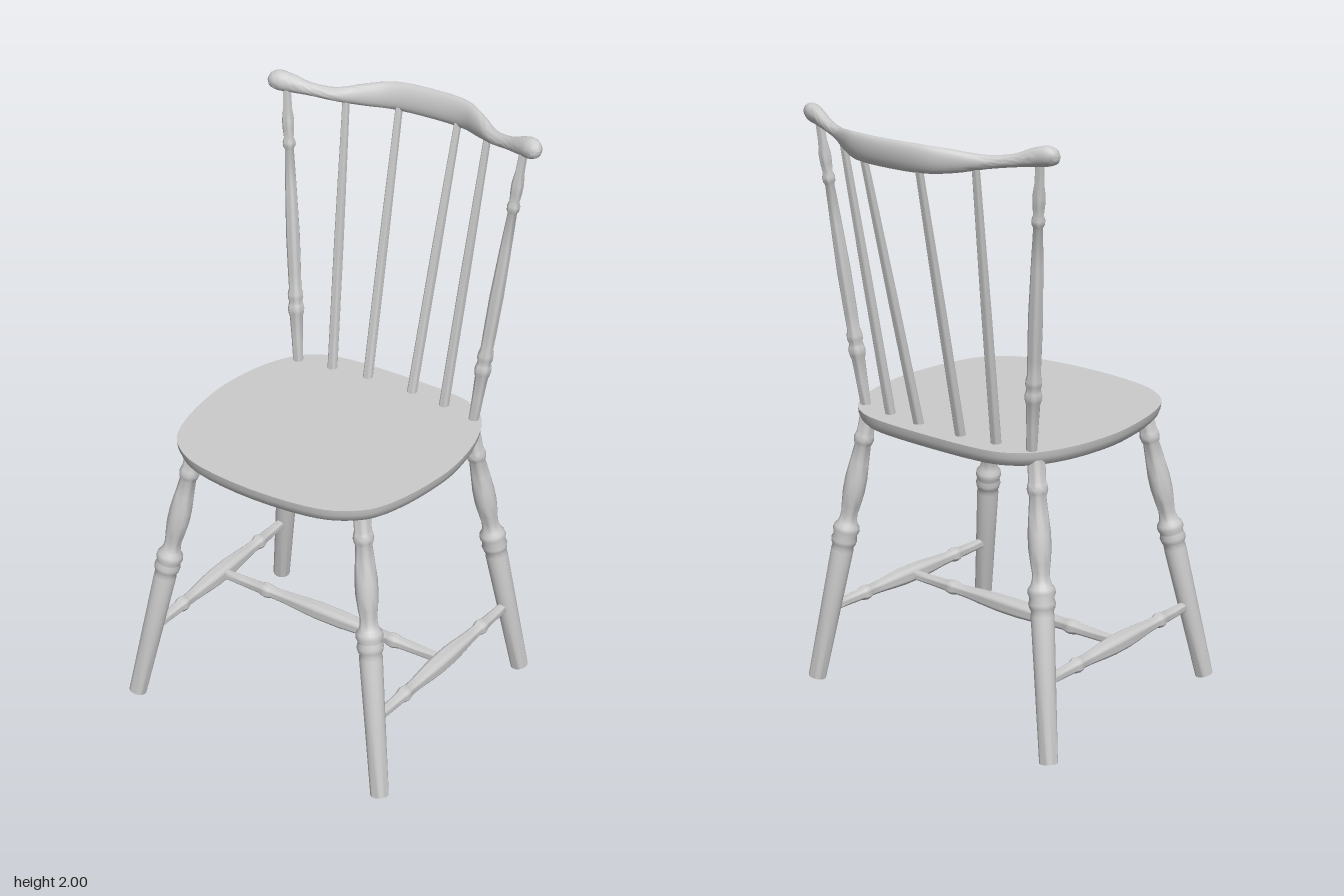
import * as THREE from 'three';
import { toCreasedNormals } from 'three/addons/utils/BufferGeometryUtils.js';

const material = new THREE.MeshStandardMaterial({ color: 0xcccccc });
const V = (x, y, z) => new THREE.Vector3(x, y, z);

function addMesh(group, name, geometry, crease) {
  const mesh = new THREE.Mesh(toCreasedNormals(geometry, crease), material);
  mesh.name = name;
  group.add(mesh);
  return mesh;
}

// Turned part from a to b; profile is [fraction of length, radius]
function turned(group, name, a, b, profile, sides = 20) {
  const length = a.distanceTo(b);
  const pts = profile.map(([t, r]) => new THREE.Vector2(r, t * length));
  pts.unshift(new THREE.Vector2(0, pts[0].y));
  pts.push(new THREE.Vector2(0, pts[pts.length - 1].y));
  const mesh = addMesh(group, name, new THREE.LatheGeometry(pts, sides), 1.0);
  mesh.position.copy(a);
  mesh.quaternion.setFromUnitVectors(V(0, 1, 0), b.clone().sub(a).normalize());
}

// Capped skin over closed rings of equal count
function loft(rings) {
  const n = rings[0].length, last = rings.length - 1;
  const pos = [], index = [];
  rings.forEach(ring => ring.forEach(p => pos.push(p.x, p.y, p.z)));
  for (const ring of [rings[0], rings[last]]) {
    const c = V(0, 0, 0);
    ring.forEach(p => c.addScaledVector(p, 1 / n));
    pos.push(c.x, c.y, c.z);
  }
  const start = (last + 1) * n;
  for (let j = 0; j < n; j++) {
    const k = (j + 1) % n;
    for (let i = 0; i < last; i++) {
      const a = i * n + j, b = i * n + k;
      index.push(a, b, b + n, a, b + n, a + n);
    }
    index.push(start, k, j, start + 1, last * n + j, last * n + k);
  }
  const geometry = new THREE.BufferGeometry();
  geometry.setAttribute('position', new THREE.Float32BufferAttribute(pos, 3));
  geometry.setIndex(index);
  return geometry;
}

// Seat: rounded outline with a tucked-under lower edge
function seatGeometry() {
  const half = [[0.2, 0.49], [0.29, 0.461], [0.365, 0.405], [0.398, 0.355], [0.43, 0.26],
    [0.452, 0.13], [0.457, 0.03], [0.435, -0.13], [0.393, -0.24], [0.35, -0.297],
    [0.285, -0.338], [0.2, -0.356]];
  const outline = [[0, 0.507], ...half, [0, -0.363], ...half.map(([x, z]) => [-x, z]).reverse()];
  const curve = new THREE.CatmullRomCurve3(outline.map(([x, z]) => V(x, 0, z)), true);
  const points = curve.getPoints(78).slice(0, -1);
  const layers = [[0.945, 0.925], [0.95, 0.955], [0.962, 0.98], [0.98, 0.995], [1, 1]];
  return loft(layers.map(([y, s]) => points.map(p => V(p.x * s, y, 0.07 + (p.z - 0.07) * s))));
}

// Top rail: bowed back, with a deep middle, slim shoulders and knobbed ends
function railGeometry() {
  // x, z, bottom, top, half thickness
  const half = [[0.14, -0.504, 1.892, 1.983, 0.021], [0.22, -0.462, 1.899, 1.972, 0.021],
    [0.30, -0.41, 1.914, 1.958, 0.021], [0.38, -0.378, 1.926, 1.968, 0.021],
    [0.44, -0.355, 1.932, 1.992, 0.025], [0.48, -0.341, 1.936, 2.0, 0.028],
    [0.505, -0.332, 1.947, 1.99, 0.019], [0.513, -0.329, 1.964, 1.972, 0.004]];
  const stations = [...half.map(([x, ...rest]) => [-x, ...rest]).reverse(),
    [0, -0.518, 1.89, 1.985, 0.021], ...half];
  const centre = new THREE.CatmullRomCurve3(stations.map(([x, z, lo, hi]) => V(x, (lo + hi) / 2, z)));
  const size = new THREE.CatmullRomCurve3(stations.map(([x, , lo, hi, w]) => V(x, (hi - lo) / 2, w)));
  const rings = [], steps = 64, sides = 20;
  for (let i = 0; i <= steps; i++) {
    const c = centre.getPoint(i / steps), s = size.getPoint(i / steps);
    const t = centre.getTangent(i / steps).setY(0).normalize();
    const ring = [];
    for (let j = 0; j < sides; j++) {
      const a = (j / sides) * Math.PI * 2;
      const across = Math.sin(a) * s.z, up = Math.cos(a) * s.y;
      ring.push(V(c.x - t.z * across, c.y + up, c.z + t.x * across - up * 0.15));
    }
    rings.push(ring);
  }
  return loft(rings);
}

const legProfile = [[0, 0.03], [0.25, 0.034], [0.49, 0.038], [0.505, 0.036], [0.515, 0.041],
  [0.53, 0.044], [0.545, 0.04], [0.55, 0.04], [0.565, 0.045], [0.58, 0.043], [0.592, 0.034],
  [0.61, 0.029], [0.63, 0.028], [0.66, 0.032], [0.71, 0.037], [0.76, 0.037], [0.82, 0.032],
  [0.88, 0.027], [0.89, 0.031], [0.905, 0.034], [0.92, 0.031], [0.93, 0.028], [1, 0.029]];

const postProfile = [[0, 0.017], [0.1, 0.019], [0.18, 0.022], [0.195, 0.026], [0.21, 0.028],
  [0.225, 0.025], [0.235, 0.022], [0.25, 0.026], [0.265, 0.026], [0.285, 0.021], [0.34, 0.022],
  [0.48, 0.023], [0.65, 0.019], [0.78, 0.015], [0.79, 0.02], [0.805, 0.021], [0.82, 0.016],
  [0.85, 0.019], [0.88, 0.02], [0.92, 0.015], [1, 0.013]];

// Stretcher with a swelling in the middle and a bead either side
const stretcherHalf = [[0, 0.017], [0.1, 0.018], [0.18, 0.02], [0.195, 0.024], [0.21, 0.026],
  [0.225, 0.024], [0.24, 0.02], [0.3, 0.022], [0.39, 0.028], [0.45, 0.031]];
const stretcherProfile = [...stretcherHalf, [0.5, 0.031],
  ...stretcherHalf.map(([t, r]) => [1 - t, r]).reverse()];

export function createModel() {
  const group = new THREE.Group();
  group.name = 'chair';

  addMesh(group, 'seat', seatGeometry(), 0.7);
  addMesh(group, 'topRail', railGeometry(), 1.0);

  // Mirrored legs, side stretchers, back posts and spindles
  for (const [s, side] of [[1, 'left'], [-1, 'right']]) {
    turned(group, side + 'FrontLeg', V(s * 0.497, 0.008, 0.507), V(s * 0.325, 0.965, 0.362), legProfile);
    turned(group, side + 'BackLeg', V(s * 0.508, 0.008, -0.357), V(s * 0.355, 0.965, -0.238), legProfile);
    turned(group, side + 'SideStretcher', V(s * 0.45, 0.265, 0.465), V(s * 0.466, 0.265, -0.325), stretcherProfile);
    turned(group, side + 'BackPost', V(s * 0.35, 0.98, -0.255), V(s * 0.45, 1.955, -0.345), postProfile);
    const spindle = [[0, 0.017], [0.5, 0.016], [1, 0.012]];
    turned(group, side + 'OuterSpindle', V(s * 0.223, 0.98, -0.274), V(s * 0.27, 1.93, -0.427), spindle, 14);
    turned(group, side + 'InnerSpindle', V(s * 0.088, 0.98, -0.287), V(s * 0.113, 1.93, -0.508), spindle, 14);
  }
  turned(group, 'crossStretcher', V(-0.45, 0.265, 0.07), V(0.45, 0.265, 0.07),
    stretcherProfile.map(([t, r]) => [t, r]));
  return group;
}
